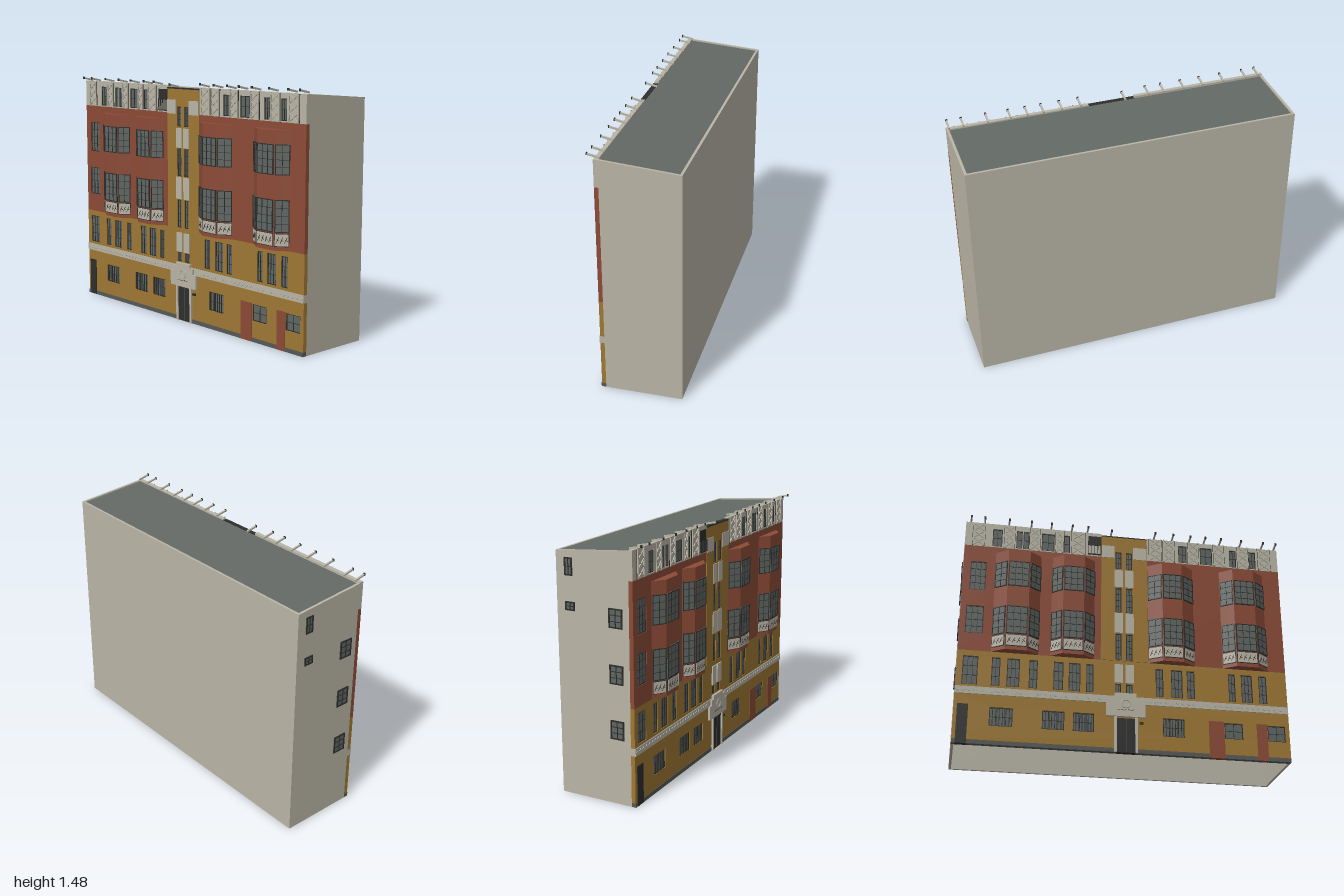
import * as THREE from 'three';
import { mergeGeometries } from 'three/addons/utils/BufferGeometryUtils.js';

const mat = (name, color, side = THREE.FrontSide) => {
  const m = new THREE.MeshStandardMaterial({ color, side });
  m.name = name;
  return m;
};

export function createModel() {
  const root = new THREE.Group();
  root.name = 'building';
  const ochre = mat('ochre plaster', 0x9e7833), red = mat('red brick', 0x8c4b36);
  const stone = mat('pale stone', 0xb9b5a6), glass = mat('grey glass', 0x5f6662);
  const dark = mat('dark metal', 0x2e2e2d), roofing = mat('roof felt', 0x636965);
  const plinthMat = mat('plinth grey', 0x555955);
  const FRONT = 0.21, BACK = 0.185;

  const add = (parent, name, geo, m) => {
    const mesh = new THREE.Mesh(geo, m);
    mesh.name = name;
    parent.add(mesh);
    return mesh;
  };
  const boxGeo = (x0, x1, y0, y1, z0, z1) =>
    new THREE.BoxGeometry(x1 - x0, y1 - y0, z1 - z0).translate((x0 + x1) / 2, (y0 + y1) / 2, (z0 + z1) / 2);
  const box = (name, m, x0, x1, y0, y1, z0, z1, parent = root) =>
    add(parent, name, boxGeo(x0, x1, y0, y1, z0, z1), m);
  // Straight bar between two points in a vertical plane
  const barGeo = (xa, ya, xb, yb, z, w, d) =>
    new THREE.BoxGeometry(Math.hypot(xb - xa, yb - ya), w, d)
      .rotateZ(Math.atan2(yb - ya, xb - xa)).translate((xa + xb) / 2, (ya + yb) / 2, z);

  // Pane with frame and glazing bars
  const windowAt = (name, [x0, x1, y0, y1], z, cols, rows, parent = root, t = 0.005) => {
    const g = new THREE.Group();
    g.name = name;
    parent.add(g);
    box('pane', glass, x0, x1, y0, y1, z - 0.002, z + 0.002, g);
    const bars = [];
    for (let i = 0; i <= cols; i++) {
      const w = i % cols ? t * 0.5 : t, x = x0 + w / 2 + (x1 - x0 - w) * i / cols;
      bars.push(boxGeo(x - w / 2, x + w / 2, y0, y1, z - 0.003, z + 0.006));
    }
    for (let j = 0; j <= rows; j++) {
      const w = j % rows ? t * 0.5 : t, y = y0 + w / 2 + (y1 - y0 - w) * j / rows;
      bars.push(boxGeo(x0, x1, y - w / 2, y + w / 2, z - 0.003, z + 0.005));
    }
    add(g, 'frame', mergeGeometries(bars), dark);
  };

  // Wall zone with openings; each opening is [x0, x1, y0, y1, cols, rows]
  const zone = (name, m, x0, x1, y0, y1, openings = [], z1 = FRONT) => {
    const rect = (S, a, b, c, d) => {
      const s = new S();
      s.moveTo(a, c); s.lineTo(b, c); s.lineTo(b, d); s.lineTo(a, d); s.closePath();
      return s;
    };
    const shape = rect(THREE.Shape, x0, x1, y0, y1);
    for (const o of openings) {
      shape.holes.push(rect(THREE.Path, o[0], o[1], o[2], o[3]));
      windowAt(name + ' window', o, z1 - 0.01, o[4], o[5]);
    }
    add(root, name, new THREE.ExtrudeGeometry(shape, { depth: z1 - BACK, bevelEnabled: false }).translate(0, 0, BACK), m);
  };
  const row = (spans, y0, y1, cols, rows) => spans.map(([a, b, c]) => [a, b, y0, y1, c ?? cols, rows]);

  // Hollow body: side walls, back wall and sloping roof
  const profile = new THREE.Shape([[0.27, 0], [0.27, 1.415], [-BACK, 1.45], [-BACK, 0]].map(p => new THREE.Vector2(...p)));
  for (const x of [-1, 0.985])
    add(root, 'sideWall', new THREE.ExtrudeGeometry(profile, { depth: 0.015, bevelEnabled: false })
      .rotateY(Math.PI / 2).translate(x, 0, 0), stone);
  box('backWall', stone, -0.985, 0.985, 0, 1.415, -0.27, -0.255);
  const roof = add(root, 'roof', new THREE.BoxGeometry(1.97, 0.01, 0.445), roofing);
  roof.position.set(0, 1.42, -0.035);
  roof.rotation.x = -0.077;

  // Front wall, from the ground up
  box('plinth', plinthMat, -1, 1, 0, 0.025, BACK, FRONT + 0.003);
  const barred = [[-0.795, -0.66], [-0.49, -0.36], [-0.31, -0.185], [0.225, 0.355]];
  zone('groundFloor', ochre, -1, 1, 0.025, 0.305, [
    ...row(barred, 0.115, 0.23, 3, 2), ...row([[0.6, 0.712], [0.865, 0.975]], 0.125, 0.225, 2, 2)]);
  for (const [a, b] of barred)
    for (let i = 1; i < 7; i++) {
      const x = a + (b - a) * i / 7;
      box('windowBar', dark, x - 0.002, x + 0.002, 0.115, 0.23, 0.207, 0.211);
    }
  box('stoneBand', stone, -1, 1, 0.305, 0.35, BACK, FRONT + 0.005);
  const studs = [];
  for (let i = 0; i < 60; i++) {
    const x = -0.983 + i / 30;
    if (Math.abs(x) > 0.13)
      studs.push(new THREE.BoxGeometry(0.016, 0.016, 0.004).rotateZ(Math.PI / 4).translate(x, 0.3275, FRONT + 0.006));
  }
  add(root, 'bandStuds', mergeGeometries(studs), stone);
  zone('firstFloor', ochre, -1, 1, 0.35, 0.58, [
    ...row([[-0.965, -0.875, 3], [-0.795, -0.745], [-0.705, -0.63, 3], [-0.575, -0.525], [-0.43, -0.372], [-0.34, -0.27, 3],
      [-0.235, -0.192], [0.185, 0.232], [0.28, 0.35, 3], [0.377, 0.425], [0.635, 0.678], [0.715, 0.785, 3], [0.825, 0.875]],
    0.365, 0.545, 2, 3),
    ...row([[-0.06, -0.025], [0.005, 0.045]], 0.372, 0.43, 2, 1)]);
  zone('leftBrickWall', red, -1, -0.15, 0.58, 1.29, [
    [-0.955, -0.86, 0.985, 1.18, 3, 4], [-0.965, -0.86, 0.695, 0.877, 3, 4]]);
  zone('rightBrickWall', red, 0.14, 1, 0.58, 1.29);
  const stairX = [[-0.06, -0.022], [0.005, 0.045]];
  zone('stairTower', ochre, -0.15, 0.14, 0.58, 1.44, [
    ...row(stairX, 0.585, 0.76, 2, 4), ...row(stairX, 0.905, 1.075, 2, 4), ...row(stairX, 1.21, 1.33, 2, 3)], FRONT + 0.004);
  box('towerCoping', dark, -0.15, 0.14, 1.436, 1.443, BACK, FRONT + 0.005);
  for (const [y0, y1] of [[0.435, 0.555], [0.765, 0.9], [1.08, 1.2]])
    for (const [a, b] of [[-0.067, -0.015], [0.0, 0.052]])
      box('towerPanel', stone, a, b, y0, y1, FRONT, FRONT + 0.008);
  for (const [a, b] of [[-0.148, -0.067], [0.052, 0.138]])
    box('shoulderPanel', stone, a, b, 1.285, 1.37, FRONT, FRONT + 0.008);

  // Attic with trellises
  zone('leftAttic', stone, -1, -0.15, 1.29, 1.455, row(
    [[-0.832, -0.772], [-0.685, -0.648, 1], [-0.642, -0.605, 1], [-0.527, -0.447], [-0.388, -0.35, 1]], 1.297, 1.42, 2, 2));
  zone('rightAttic', stone, 0.14, 1, 1.29, 1.45, row(
    [[0.345, 0.4], [0.487, 0.567], [0.68, 0.725], [0.81, 0.855]], 1.297, 1.42, 2, 2));
  const trellises = [[-0.95, -0.885], [-0.755, -0.7], [-0.597, -0.543], [-0.435, -0.395], [-0.335, -0.26],
    [0.16, 0.23], [0.25, 0.315], [0.412, 0.47], [0.58, 0.64], [0.737, 0.8], [0.875, 0.945]];
  for (const [a, b] of trellises) {
    const parts = [a, b].map(x => boxGeo(x - 0.003, x + 0.003, 1.292, 1.45, FRONT, FRONT + 0.009));
    for (let j = 0; j < 3; j++) {
      const y0 = 1.295 + j * 0.05, y1 = y0 + 0.05;
      parts.push(barGeo(a, y0, b, y1, FRONT + 0.005, 0.005, 0.006), barGeo(a, y1, b, y0, FRONT + 0.005, 0.005, 0.005));
    }
    add(root, 'trellis', mergeGeometries(parts), stone);
    // thin shadow-gap strips beside the trellis
    for (const x of [a - 0.006, b + 0.006])
      box('trellisEdge', dark, x - 0.001, x + 0.001, 1.292, 1.45, FRONT, FRONT + 0.003);
  }
  // Small balcony beside the tower
  box('balconyOpening', dark, -0.235, -0.152, 1.365, 1.43, FRONT, FRONT + 0.003);
  for (let i = 0; i < 5; i++) {
    const x = -0.232 + i * 0.0195;
    box('balconyBar', dark, x - 0.0015, x + 0.0015, 1.3, 1.37, FRONT, FRONT + 0.008);
  }
  box('balconyRail', dark, -0.235, -0.152, 1.298, 1.303, FRONT, FRONT + 0.008);

  // Roof-edge outriggers
  for (const x of [-0.97, -0.885, -0.735, -0.596, -0.47, -0.34, -0.24, -0.09, 0.19, 0.307, 0.42, 0.517, 0.62, 0.755, 0.9, 0.985]) {
    const y = Math.abs(x + 0.09) < 0.01 ? 1.455 : 1.466;
    const pole = add(root, 'outrigger', new THREE.BoxGeometry(0.01, 0.01, 0.075), stone);
    pole.position.set(x, y, 0.213);
    pole.rotation.x = -0.2;
    box('outriggerTip', dark, x - 0.006, x + 0.006, y + 0.001, y + 0.015, 0.245, 0.251);
  }

  // Bay windows: [left, front left, front right, right]
  const bays = [[-0.805, -0.73, -0.597, -0.525], [-0.455, -0.39, -0.262, -0.19],
    [0.142, 0.225, 0.35, 0.43], [0.605, 0.68, 0.815, 0.89]];
  for (const [a, b, c, d] of bays) {
    const bay = new THREE.Group();
    bay.name = 'bayWindow';
    root.add(bay);
    const pts = [[a, FRONT], [b, 0.262], [c, 0.262], [d, FRONT]];
    const outline = new THREE.Shape(pts.map(([x, z]) => new THREE.Vector2(x, -z)));
    add(bay, 'bayBody', new THREE.ExtrudeGeometry(outline, { depth: 0.67, bevelEnabled: false })
      .rotateX(-Math.PI / 2).translate(0, 0.58, 0), red);
    for (let i = 0; i < 3; i++) {
      const [xa, za] = pts[i], [xb, zb] = pts[i + 1];
      const h = Math.hypot(xb - xa, zb - za) / 2 - 0.004;
      const face = new THREE.Group();
      face.name = 'bayFace';
      face.position.set((xa + xb) / 2, 0, (za + zb) / 2);
      face.rotation.y = Math.atan2(za - zb, xb - xa);
      bay.add(face);
      windowAt('upperBayWindow', [-h, h, 1.003, 1.172], 0.002, i === 1 ? 3 : 2, 4, face);
      windowAt('lowerBayWindow', [-h, h, 0.683, 0.866], 0.002, i === 1 ? 3 : 2, 4, face);
      // Carved stone panel below
      box('panelBorder', dark, -h, h, 0.603, 0.678, 0, 0.003, face);
      box('panel', stone, -h + 0.003, h - 0.003, 0.607, 0.674, 0, 0.005, face);
      const leaves = [], n = i === 1 ? 4 : 3;
      for (let k = 0; k < n; k++) {
        const x = (k + 0.5) / n * 2 * (h - 0.006) - (h - 0.006);
        leaves.push(barGeo(x - 0.009, 0.622, x + 0.007, 0.657, 0.005, 0.003, 0.003),
          barGeo(x - 0.004, 0.645, x + 0.01, 0.634, 0.005, 0.003, 0.003));
      }
      add(face, 'carving', mergeGeometries(leaves), dark);
    }
  }

  // Entrance: stepped stone surround, jambs and door
  const steps = [[-0.115, 0.22], [0.118, 0.22], [0.118, 0.31], [0.092, 0.31], [0.092, 0.345], [0.065, 0.345],
    [0.065, 0.368], [-0.065, 0.368], [-0.065, 0.345], [-0.09, 0.345], [-0.09, 0.31], [-0.115, 0.31]];
  add(root, 'entranceSurround', new THREE.ExtrudeGeometry(new THREE.Shape(steps.map(p => new THREE.Vector2(...p))),
    { depth: 0.015, bevelEnabled: false }).translate(0, 0, FRONT), stone);
  add(root, 'entranceRelief', new THREE.TorusGeometry(0.025, 0.004, 6, 16).translate(0, 0.3, 0.225), stone);
  for (let k = 0; k < 5; k++)
    add(root, 'reliefLine', barGeo(-0.05 + k * 0.021, 0.258 + (k % 2) * 0.006, -0.035 + k * 0.021, 0.264 - (k % 2) * 0.006,
      0.226, 0.002, 0.003), dark);
  box('leftJamb', stone, 0.057, 0.072, 0, 0.22, FRONT, 0.222);
  box('rightJamb', stone, -0.067, -0.052, 0, 0.22, FRONT, 0.222);
  const door = (name, m, x0, x1, h) => box(name, m, x0, x1, 0, h, BACK - 0.002, FRONT + 0.004);
  door('mainDoor', dark, -0.052, 0.057, 0.212);
  box('doorSplit', plinthMat, 0.001, 0.004, 0.005, 0.21, 0.213, 0.216);
  door('cornerDoor', dark, -0.98, -0.917, 0.24);
  door('redDoor', red, 0.503, 0.597, 0.23);
  door('redDoor', red, 0.797, 0.862, 0.23);
  box('lamp', dark, 0.085, 0.105, 0.18, 0.193, FRONT, 0.222);

  // Windows on the right-hand end wall
  const end = new THREE.Group();
  end.name = 'endWallWindows';
  end.position.x = -1;
  end.rotation.y = -Math.PI / 2;
  root.add(end);
  for (const y of [0.44, 0.76, 1.076])
    windowAt('endWindow', [0.06, 0.145, y - 0.055, y + 0.055], 0.001, 2, 3, end, 0.008);
  windowAt('smallEndWindow', [-0.215, -0.165, 1.28, 1.38], 0.001, 2, 2, end, 0.008);
  windowAt('smallEndWindow', [-0.215, -0.155, 1.085, 1.135], 0.001, 2, 2, end, 0.008);
  return root;
}
